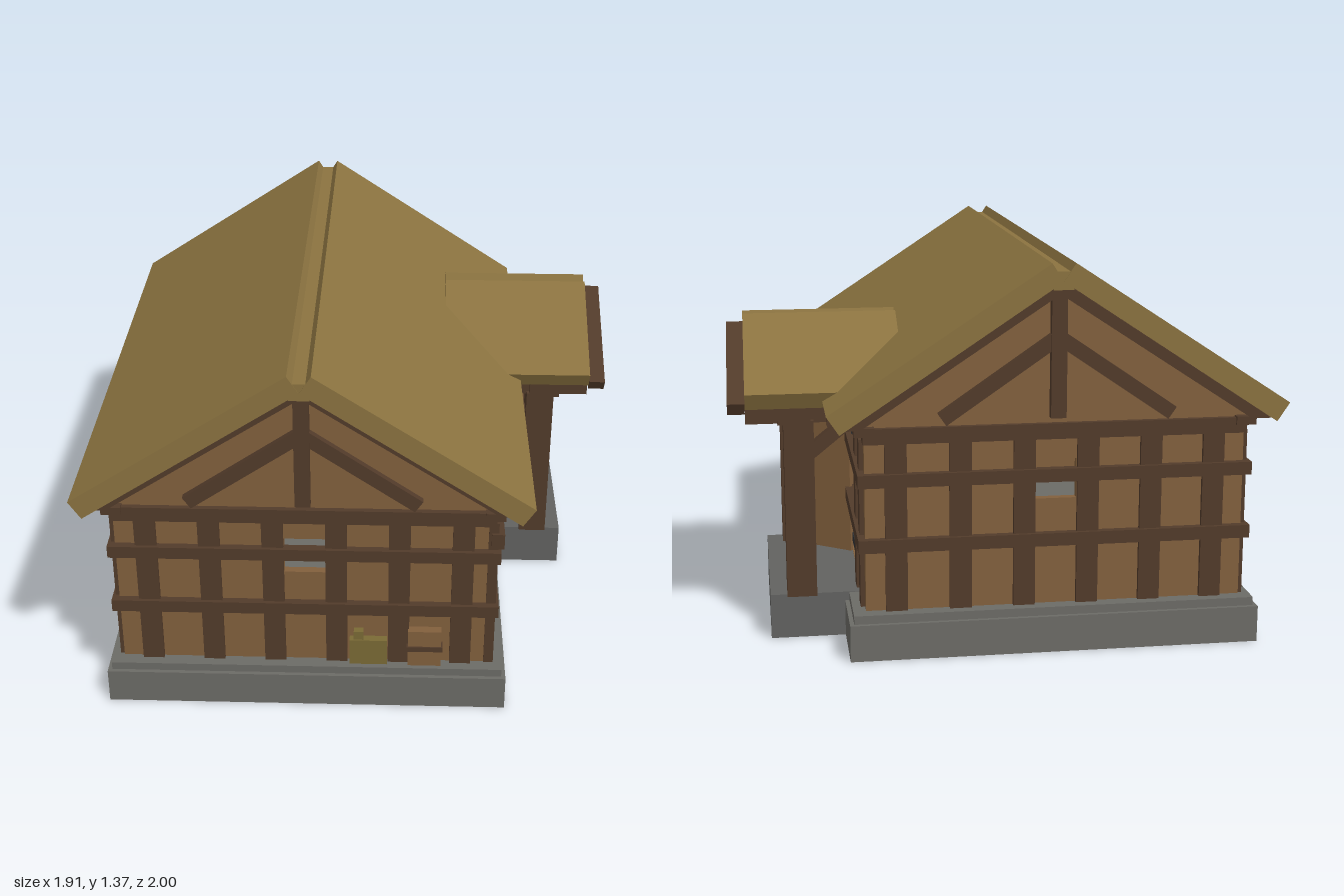
import * as THREE from 'three';

const mat = (color) => new THREE.MeshStandardMaterial({ color, side: THREE.DoubleSide });

export function createModel() {
  const root = new THREE.Group();
  const M = {
    roof: mat(0x8b7340), wall: mat(0x82603d), beam: mat(0x523b2a),
    stone: mat(0x6c6b66), step: mat(0x626260), dark: mat(0x2f3236), straw: mat(0x7a6a35),
  };
  const XL = -0.83, XR = 0.5, ZW = 0.905, CX = -0.165, PZ = -0.345;

  const add = (name, geo, m) => {
    const mesh = new THREE.Mesh(geo, m);
    mesh.name = name;
    root.add(mesh);
    return mesh;
  };
  // Box given by its extents
  const box = (name, m, x0, x1, y0, y1, z0, z1) => {
    const mesh = add(name, new THREE.BoxGeometry(x1 - x0, y1 - y0, z1 - z0), m);
    mesh.position.set((x0 + x1) / 2, (y0 + y1) / 2, (z0 + z1) / 2);
    return mesh;
  };
  const toShape = (pts) => new THREE.Shape(pts.map(([a, b]) => new THREE.Vector2(a, b)));
  const rect = (a0, a1, b0, b1) => [[a0, b0], [a1, b0], [a1, b1], [a0, b1]];
  // Outline in x,y extruded along z
  const alongZ = (name, m, pts, z0, z1, holes = []) => {
    const s = toShape(pts);
    s.holes = holes.map((h) => toShape(h));
    const g = new THREE.ExtrudeGeometry(s, { depth: z1 - z0, bevelEnabled: false });
    return add(name, g.translate(0, 0, z0), m);
  };
  // Outline in z,y extruded along x
  const alongX = (name, m, pts, x0, x1, holes = []) => {
    const s = toShape(pts);
    s.holes = holes.map((h) => toShape(h));
    const g = new THREE.ExtrudeGeometry(s, { depth: x1 - x0, bevelEnabled: false });
    return add(name, g.rotateY(-Math.PI / 2).translate(x1, 0, 0), m);
  };
  // Outline of a straight strut between two points
  const strut = (a, b, w) => {
    const l = Math.hypot(b[0] - a[0], b[1] - a[1]);
    const nx = (-(b[1] - a[1]) / l) * w / 2, ny = ((b[0] - a[0]) / l) * w / 2;
    return [[a[0] + nx, a[1] + ny], [a[0] - nx, a[1] - ny], [b[0] - nx, b[1] - ny], [b[0] + nx, b[1] + ny]];
  };
  const mirrored = (pts, c, s) => pts.map(([u, y]) => [c + s * u, y]);

  // Stone base and porch step
  box('foundation', M.stone, -0.885, 0.56, 0, 0.13, -0.97, 0.97);
  box('foundationTop', M.stone, -0.87, 0.545, 0.13, 0.16, -0.955, 0.955);
  box('porchStep', M.step, 0.4, 0.825, 0, 0.162, -0.7, 0.02);

  // Front and back walls with a window opening and timber frame
  for (const s of [1, -1]) {
    const span = (a, b) => (s > 0 ? [a, b] : [-b, -a]);
    alongZ('endWall', M.wall, rect(XL, XR, 0.16, 0.81), ...span(ZW - 0.03, ZW), [rect(-0.235, -0.09, 0.54, 0.68)]);
    for (let i = 0; i < 6; i++) {
      const x = -0.72 + i * 0.2227;
      box('endPost', M.beam, x - 0.038, x + 0.038, 0.16, 0.76, ...span(ZW - 0.01, ZW + 0.015));
    }
    for (const y of [0.375, 0.605]) box('endRail', M.beam, -0.85, 0.52, y, y + 0.046, ...span(ZW - 0.005, ZW + 0.028));
    box('endTopBeam', M.beam, -0.835, 0.505, 0.755, 0.81, ...span(ZW - 0.04, ZW + 0.02));

    // Gable panel with king post, braces and rafters
    alongZ('gablePanel', M.wall, [[CX - 0.68, 0.81], [CX + 0.7, 0.81], [CX, 1.285]], ...span(ZW - 0.03, ZW));
    box('kingPost', M.beam, CX - 0.027, CX + 0.027, 0.83, 1.27, ...span(ZW, ZW + 0.03));
    for (const t of [1, -1]) {
      alongZ('gableBrace', M.beam, strut([CX, 1.11], [CX + t * 0.4, 0.835], 0.05), ...span(ZW, ZW + 0.025));
      alongZ('gableRafter', M.beam, mirrored([[0.75, 0.81], [0, 1.305], [0, 1.258], [0.68, 0.81]], CX, t),
        ...span(ZW - 0.02, ZW + 0.04));
    }
  }

  // Long wall with windows and doorway on the porch side
  alongX('porchSideWall', M.wall, rect(-ZW, ZW, 0.16, 0.8), XR - 0.03, XR, [
    rect(0.41, 0.82, 0.31, 0.66), rect(-0.34, -0.12, 0.165, 0.72),
  ]);
  box('windowPane', M.dark, XR - 0.06, XR - 0.04, 0.31, 0.66, 0.41, 0.82);
  box('windowScreen', M.wall, XR - 0.04, XR - 0.02, 0.31, 0.47, 0.41, 0.82);
  box('windowLintel', M.beam, XR - 0.01, XR + 0.035, 0.66, 0.72, 0.31, 0.92);
  box('windowSill', M.beam, XR - 0.01, XR + 0.01, 0.235, 0.255, 0.41, 0.82);
  box('doorwayBack', M.dark, XR - 0.07, XR - 0.05, 0.16, 0.72, -0.34, -0.12);
  box('doorHeader', M.dark, XR - 0.01, XR + 0.02, 0.712, 0.732, -0.58, -0.07);
  for (const y of [0.24, 0.58]) box('panelBar', M.dark, XR - 0.01, XR + 0.008, y, y + 0.035, -0.58, -0.35);
  for (const [a, b] of [[0.82, 0.91], [0.57, 0.657], [0.325, 0.41], [0.175, 0.245], [0.025, 0.105], [-0.66, -0.58], [-0.86, -0.79]])
    box('sidePost', M.beam, XR - 0.02, XR + 0.015, 0.16, 0.76, a, b);
  for (const y of [0.375, 0.605])
    for (const [a, b] of [[0.03, 0.933], [-0.933, -0.2]])
      box('sideRail', M.beam, XR - 0.01, XR + 0.025, y, y + 0.046, a, b);

  // Door leaf standing open
  const door = box('doorLeaf', M.wall, -0.095, 0.095, 0.165, 0.712, -0.008, 0.008);
  door.position.x = 0.58;
  door.position.z = -0.175;
  door.rotation.y = -Math.atan2(0.11, 0.15);

  // Opposite long wall with two small windows
  alongX('farSideWall', M.wall, rect(-ZW, ZW, 0.16, 0.8), XL, XL + 0.03, [
    rect(-0.7, -0.57, 0.5, 0.6), rect(0.43, 0.57, 0.5, 0.6),
  ]);
  box('farWindowScreen', M.dark, XL + 0.05, XL + 0.06, 0.48, 0.62, 0.4, 0.6);
  for (const z of [-0.86, -0.74, -0.53, -0.08, 0.17, 0.86])
    box('farSidePost', M.beam, XL - 0.015, XL + 0.02, 0.16, 0.76, z - 0.038, z + 0.038);
  for (const y of [0.375, 0.605]) box('farSideRail', M.beam, XL - 0.025, XL + 0.01, y, y + 0.046, -0.933, 0.933);

  // Wall plates and rafter ends under the eaves
  for (const [x, s] of [[XL, -1], [XR, 1]]) {
    box('wallPlate', M.beam, x - 0.035, x + 0.035, 0.785, 0.815, -0.935, 0.935);
    for (let i = 0; i < 12; i++) {
      const z = 0.738 - i * 0.134;
      const a = x - s * 0.05, b = x + s * 0.115;
      box('rafterEnd', M.beam, Math.min(a, b), Math.max(a, b), 0.785, 0.833, z - 0.024, z + 0.024);
    }
  }

  // Main roof
  for (const s of [1, -1])
    alongZ('mainRoof', M.roof, mirrored([[0.795, 0.875], [0.04, 1.37], [0, 1.308], [0.752, 0.81]], CX, s), -1, 1);
  box('mainRidge', M.roof, CX - 0.035, CX + 0.035, 1.28, 1.342, -0.998, 0.998);

  // Porch posts, beams and side braces
  for (const z of [-0.0175, -0.6725]) {
    box('porchPost', M.beam, 0.66, 0.765, 0.16, 0.8, z - 0.0525, z + 0.0525);
    box('porchSideBeam', M.beam, 0.47, 0.895, 0.79, 0.85, z - 0.035, z + 0.035);
    alongZ('porchBrace', M.beam, strut([0.5, 0.815], [0.68, 0.67], 0.045), z - 0.025, z + 0.025);
  }
  box('porchFrontBeam', M.beam, 0.67, 0.785, 0.79, 0.855, -0.74, 0.045);

  // Porch gable and roof
  alongX('porchGable', M.wall, [[PZ - 0.37, 0.85], [PZ + 0.37, 0.85], [PZ, 1.05]], 0.69, 0.72);
  box('porchKingPost', M.beam, 0.72, 0.765, 0.875, 1.04, PZ - 0.025, PZ + 0.025);
  for (const s of [1, -1]) {
    alongX('porchGableBrace', M.beam, strut([PZ, 0.985], [PZ + s * 0.23, 0.865], 0.035), 0.72, 0.76);
    alongX('porchBargeboard', M.beam, mirrored([[0.42, 0.875], [0, 1.092], [0, 1.045], [0.395, 0.833]], PZ, s), 0.895, 0.955);
    alongX('porchRoof', M.roof, mirrored([[0.43, 0.908], [0.035, 1.126], [0, 1.068], [0.4, 0.85]], PZ, s), 0.34, 0.895);
  }
  box('porchRidge', M.roof, 0.342, 0.893, 1.05, 1.1, PZ - 0.03, PZ + 0.03);

  // Crates by the front wall
  box('strawCrate', M.straw, -0.005, 0.13, 0.16, 0.265, 0.87, 0.935);
  box('strawCrateLid', M.straw, 0.01, 0.045, 0.265, 0.3, 0.88, 0.93);
  box('woodCrate', M.wall, 0.205, 0.325, 0.16, 0.31, 0.87, 0.938);
  box('woodCrateBand', M.beam, 0.2, 0.33, 0.225, 0.245, 0.875, 0.943);

  return root;
}
